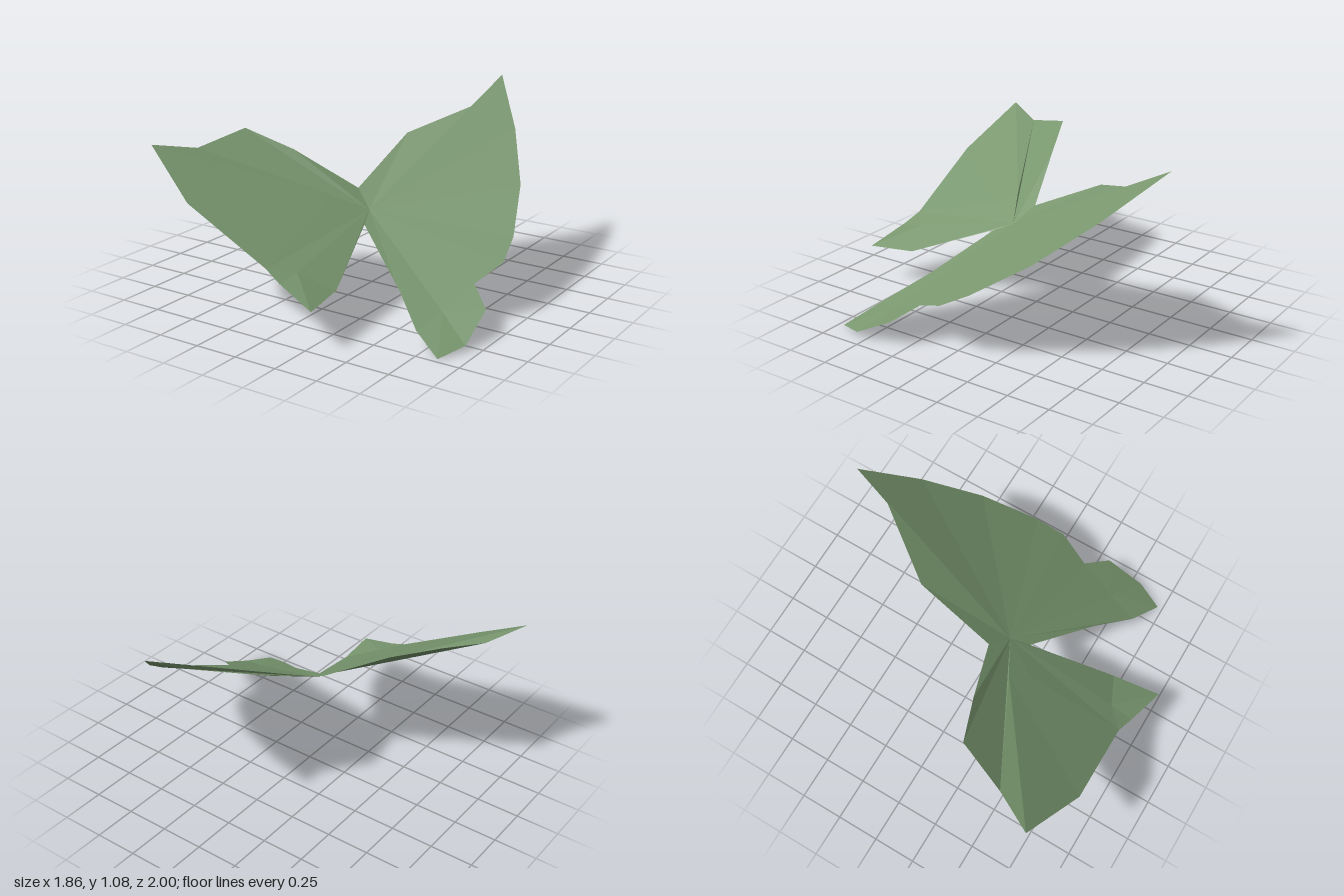
import * as THREE from 'three';

// Key points shared by both wings
const root = [0.06, 0.48, 0.12];
const head = [-0.06, 0.57, 0.05];
const tail = [0.10, 0.43, 0.23];

// Triangles fanning from a hub along a run of rim points
function fan(hub, rim, flip = false) {
  const out = [];
  for (let i = 0; i < rim.length - 1; i++) {
    out.push(...hub, ...(flip ? rim[i + 1] : rim[i]), ...(flip ? rim[i] : rim[i + 1]));
  }
  return out;
}

function wing(name, fans, material) {
  const g = new THREE.BufferGeometry();
  g.setAttribute('position', new THREE.Float32BufferAttribute(fans.flat(), 3));
  g.computeVertexNormals();
  const mesh = new THREE.Mesh(g, material);
  mesh.name = name;
  return mesh;
}

export function createModel() {
  const group = new THREE.Group();
  group.name = 'butterfly';
  const green = new THREE.MeshStandardMaterial({ color: 0x78966e, side: THREE.DoubleSide, flatShading: true });
  green.name = 'sage green';

  // Left wing: tall forewing, then the lobed hindwing with its raised fold
  const notch = [0.79, 0.225, 0.22];
  const lobe = [0.73, 0.13, 0.45];
  const lobeInner = [0.68, 0.08, 0.63];
  group.add(wing('leftForewing', [
    fan(root, [head, [-0.02, 0.80, -0.41], [0.25, 0.94, -0.79], [0.29, 1.08, -1.0],
      [0.52, 0.83, -0.74], [0.71, 0.59, -0.45], [0.83, 0.39, -0.14], [0.86, 0.30, 0.03], notch], true),
  ], green));
  group.add(wing('leftHindwing', [
    fan(root, [notch, lobe, lobeInner, [0.48, 0.20, 0.47], tail], true),
    fan(lobe, [notch, [0.92, 0.145, 0.33], [0.93, 0.03, 0.56], [0.86, 0.0, 0.72], lobeInner], true),
  ], green));

  // Right wing: pleat running to the tip, then the hindwing with a folded corner
  const valley = [-0.80, 0.81, 0.56];
  const pleat = [-0.16, 0.575, 0.24];
  const crease = [-0.09, 0.51, 0.35];
  const edge = [-0.57, 0.62, 0.92];
  const hind = [-0.06, 0.35, 0.91];
  const corner = [0.06, 0.32, 0.80];
  const hindInner = [0.25, 0.235, 0.72];
  group.add(wing('rightForewing', [
    fan(root, [head, [-0.42, 0.77, 0.17], [-0.69, 0.88, 0.27], valley, pleat, crease, hind]),
    fan(pleat, [valley, [-0.93, 0.86, 0.79], edge, crease]),
    fan(crease, [edge, hind]),
  ], green));
  group.add(wing('rightHindwing', [
    fan(root, [hind, corner, hindInner, tail]),
    fan(corner, [hind, [0.05, 0.30, 0.94], [0.29, 0.22, 1.0], hindInner]),
  ], green));

  return group;
}
